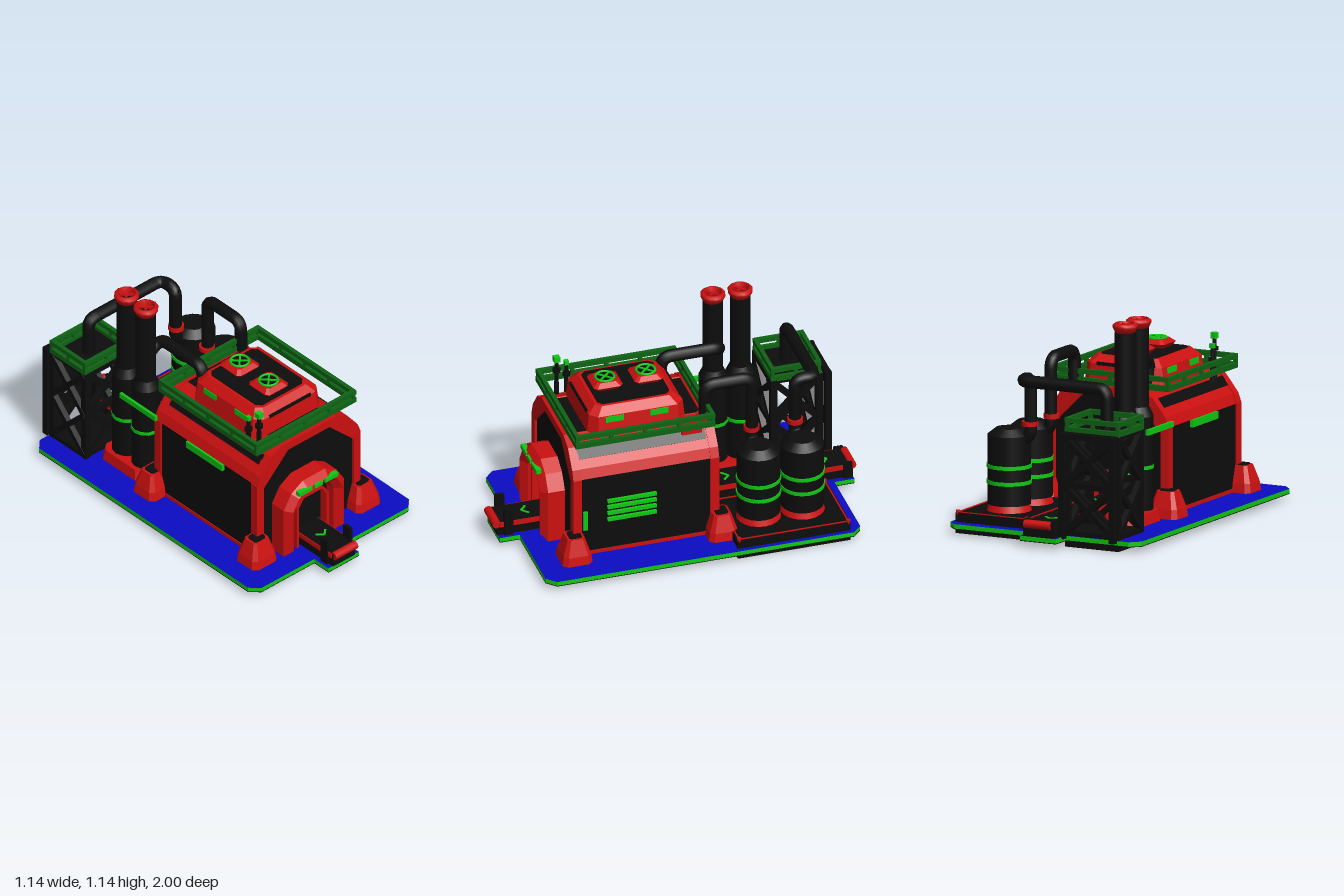
import * as THREE from 'three';
import { ConvexGeometry } from 'three/addons/geometries/ConvexGeometry.js';

export function createModel() {
  const model = new THREE.Group();
  model.name = 'factory';
  const mat = (name, color) => {
    const m = new THREE.MeshStandardMaterial({ color });
    m.name = name;
    return m;
  };
  const red = mat('red', 0xcc1010), black = mat('black', 0x0d0d0d), blue = mat('blue', 0x0c0cc4);
  const green = mat('green', 0x10c814), darkGreen = mat('darkGreen', 0x0f6414);

  // Helpers
  const add = (name, geo, m, x = 0, y = 0, z = 0) => {
    const mesh = new THREE.Mesh(geo, m);
    mesh.name = name;
    mesh.position.set(x, y, z);
    model.add(mesh);
    return mesh;
  };
  // Box given by its limits on each axis
  const box = (name, m, x0, x1, y0, y1, z0, z1) =>
    add(name, new THREE.BoxGeometry(x1 - x0, y1 - y0, z1 - z0), m, (x0 + x1) / 2, (y0 + y1) / 2, (z0 + z1) / 2);
  const cyl = (name, m, r0, r1, y0, y1, x, z, n = 16) =>
    add(name, new THREE.CylinderGeometry(r1, r0, y1 - y0, n), m, x, (y0 + y1) / 2, z);
  // Solid through chamfered rectangles [y, halfWidth, halfDepth, chamfer]
  const hull = (name, m, x, z, rings) => {
    const pts = [];
    for (const [y, w, d, c] of rings)
      for (const sx of [-1, 1]) for (const sz of [-1, 1])
        pts.push(new THREE.Vector3(sx * w, y, sz * (d - c)), new THREE.Vector3(sx * (w - c), y, sz * d));
    return add(name, new ConvexGeometry(pts), m, x, 0, z);
  };
  // Beam between two points
  const beam = (name, m, a, b, t) => {
    const p = new THREE.Vector3(...a), q = new THREE.Vector3(...b);
    const mesh = add(name, new THREE.BoxGeometry(t, t, p.distanceTo(q)), m);
    mesh.position.copy(p).add(q).multiplyScalar(0.5);
    mesh.lookAt(q);
  };
  const shapeOf = pts => new THREE.Shape(pts.map(p => new THREE.Vector2(...p)));
  const mirror = half => [...half, ...half.map(([x, y]) => [-x, y]).reverse()];
  const prism = (name, m, pts, z0, z1, x = 0, bevel = 0) =>
    add(name, new THREE.ExtrudeGeometry(shapeOf(pts), {
      depth: z1 - z0 - bevel, bevelEnabled: bevel > 0, bevelThickness: bevel, bevelSize: bevel, bevelOffset: -bevel, bevelSegments: 1,
    }), m, x, 0, z0);
  // Arch from right-half outlines, open at the bottom
  const arch = (name, m, outer, inner, z0, z1, x, bevel) =>
    prism(name, m, [...mirror(outer), ...mirror(inner).reverse()], z0, z1, x, bevel);
  // Pipe with rounded corners
  const pipe = (name, pts, r = 0.034, bend = 0.06) => {
    const v = pts.map(p => new THREE.Vector3(...p));
    const path = new THREE.CurvePath();
    let last = v[0];
    for (let i = 1; i < v.length - 1; i++) {
      const a = v[i].clone().add(v[i - 1].clone().sub(v[i]).setLength(bend));
      const b = v[i].clone().add(v[i + 1].clone().sub(v[i]).setLength(bend));
      path.add(new THREE.LineCurve3(last, a));
      path.add(new THREE.QuadraticBezierCurve3(a, v[i], b));
      last = b;
    }
    path.add(new THREE.LineCurve3(last, v[v.length - 1]));
    add(name, new THREE.TubeGeometry(path, 64, r, 10), black);
  };
  // Two-bar railing round a rectangle
  const railing = (name, x0, x1, y0, y1, z0, z1, nx, nz) => {
    const t = 0.022, xi = x1 - t, zi = z1 - t;
    for (const [a, b] of [[y0, y0 + 0.03], [y1 - 0.026, y1]]) {
      for (const z of [z0, zi]) box(name + 'Bar', darkGreen, x0, x1, a, b, z, z + t);
      for (const x of [x0, xi]) box(name + 'Bar', darkGreen, x, x + t, a, b, z0 + t, zi);
    }
    for (let i = 0; i <= nx; i++) for (const z of [z0, zi]) {
      const x = x0 + (xi - x0) * i / nx;
      box(name + 'Post', darkGreen, x, x + t * 0.9, y0, y1 - 0.002, z + 0.002, z + t - 0.002);
    }
    for (let i = 1; i < nz; i++) for (const x of [x0, xi]) {
      const z = z0 + (zi - z0) * i / nz;
      box(name + 'Post', darkGreen, x + 0.002, x + t - 0.002, y0, y1 - 0.002, z, z + t * 0.9);
    }
  };

  // Base plate with tongues for the conveyor
  const plate = [[-0.57, 0.81], [-0.52, 0.86], [-0.145, 0.86], [-0.145, 0.97], [0.07, 0.97], [0.07, 0.86], [0.52, 0.86], [0.57, 0.81],
    [0.57, -0.82], [0.52, -0.87], [0.07, -0.87], [0.07, -0.98], [-0.145, -0.98], [-0.145, -0.87], [-0.52, -0.87], [-0.57, -0.82]];
  const slab = (name, m, y, h) => {
    const g = new THREE.ExtrudeGeometry(shapeOf(plate.map(([x, z]) => [x, -z])), { depth: h, bevelEnabled: false });
    add(name, g.rotateX(-Math.PI / 2), m, 0, y, 0);
  };
  slab('basePlate', [blue, green], 0.036, 0.024);
  slab('baseUnderside', black, 0.032, 0.004);

  // Main hall
  const hall = [[0.355, 0.06], [0.355, 0.53], [0.335, 0.58], [0.26, 0.67], [0.18, 0.705]];
  const rib = [[0.366, 0.06], [0.366, 0.53], [0.345, 0.585], [0.27, 0.68], [0.19, 0.715]];
  const ribInner = [[0.318, 0.06], [0.318, 0.5], [0.147, 0.667]];
  prism('hall', black, mirror(hall), -0.125, 0.645);
  for (const z of [-0.144, 0.61]) arch('hallRib', red, rib, ribInner, z, z + 0.048, 0, 0);
  for (const s of [-1, 1]) {
    const skin = [[0.362, 0.53], [0.341, 0.583], [0.266, 0.676], [0.18, 0.711], [0.17, 0.69], [0.25, 0.65], [0.33, 0.56], [0.345, 0.53]];
    prism('roofSlope', red, skin.map(([x, y]) => [s * x, y]), -0.097, 0.611);
    const strip = [[0.312, 0.626], [0.276, 0.673], [0.27, 0.668], [0.306, 0.621]];
    prism('roofStrip', black, strip.map(([x, y]) => [s * x, y]), -0.09, 0.615);
    box('hallSill', red, s * 0.35 - 0.01, s * 0.35 + 0.01, 0.06, 0.08, -0.1, 0.62);
    // Corner buttresses
    for (const [z, e] of [[0.655, 1], [-0.15, -1]]) {
      hull('buttress', red, s * 0.367, z, [[0.06, 0.087, 0.083, 0.025], [0.11, 0.08, 0.075, 0.022], [0.2, 0.052, 0.047, 0.015]]);
      hull('buttressCap', black, s * 0.367, z, [[0.2, 0.038, 0.034, 0.01], [0.206, 0.038, 0.034, 0.01]]);
    }
  }
  // Green side grilles and lamps
  for (const y of [0.26, 0.298, 0.335, 0.372]) box('sideVent', green, 0.35, 0.372, y - 0.009, y + 0.009, 0.2, 0.47);
  box('sideLamp', green, 0.36, 0.374, 0.22, 0.33, 0.58, 0.605);
  box('leftPanel', green, -0.374, -0.355, 0.49, 0.53, 0.11, 0.39);

  // Front and rear portals
  const px = -0.037;
  arch('frontPortal', red, [[0.213, 0.06], [0.213, 0.36], [0.16, 0.445], [0.08, 0.492]],
    [[0.14, 0.06], [0.14, 0.33], [0.11, 0.39], [0.06, 0.415]], 0.645, 0.772, px, 0.035);
  prism('portalBack', black, mirror([[0.16, 0.06], [0.16, 0.34], [0.1, 0.42]]), 0.645, 0.68, px);
  arch('doorFrame', red, [[0.113, 0.06], [0.113, 0.32], [0.07, 0.378]], [[0.098, 0.06], [0.098, 0.315], [0.062, 0.363]], 0.675, 0.73, px);
  for (const [a, b] of [[-0.175, -0.083], [-0.065, -0.01], [0.008, 0.1]]) box('portalLamp', green, a, b, 0.437, 0.461, 0.75, 0.779);
  arch('rearPortal', red, [[0.145, 0.06], [0.145, 0.21], [0.1, 0.27]], [[0.1, 0.06], [0.1, 0.19], [0.07, 0.225]], -0.22, -0.12, px);

  // Conveyor running through the hall
  box('conveyorBelt', black, -0.115, 0.04, 0.06, 0.14, -0.98, 0.975);
  for (const x of [-0.121, 0.04]) {
    box('conveyorSide', red, x, x + 0.006, 0.11, 0.138, -0.97, 0.965);
    for (const z of [0.915, -0.95]) box('conveyorPost', black, x - 0.008, x + 0.014, 0.06, z > 0 ? 0.21 : 0.15, z - 0.025, z + 0.025);
  }
  for (const z of [-0.977, 0.977]) {
    const roller = add('conveyorRoller', new THREE.CylinderGeometry(0.023, 0.023, 0.155, 10), red, px, 0.127, z);
    roller.rotation.z = Math.PI / 2;
  }
  for (const [z, d] of [[0.8, 1], [-0.3, -1], [-0.84, -1]])
    for (const s of [-1, 1])
      beam('beltArrow', green, [px + s * 0.035, 0.139, z - d * 0.012], [px, 0.139, z + d * 0.02], 0.011);

  // Penthouse on the roof with two fans
  const cx = -0.005, cz = 0.257;
  hull('penthouse', red, cx, cz, [[0.69, 0.24, 0.27, 0.05], [0.74, 0.225, 0.26, 0.04], [0.805, 0.222, 0.258, 0.04], [0.845, 0.182, 0.215, 0.03]]);
  hull('penthouseRoof', black, cx, cz, [[0.84, 0.165, 0.198, 0.025], [0.85, 0.165, 0.198, 0.025]]);
  for (const s of [-1, 1]) {
    box('penthouseStrip', black, -0.15, 0.142, 0.795, 0.813, cz + s * 0.256 - 0.004, cz + s * 0.256 + 0.004);
    for (const z of [0.14, 0.385]) box('penthouseWindow', green, cx + s * 0.224 - 0.004, cx + s * 0.224 + 0.004, 0.76, 0.8, z - 0.05, z + 0.05);
  }
  for (const z of [0.14, 0.365]) {
    hull('fanHousing', red, -0.02, z, [[0.84, 0.055, 0.055, 0.012], [0.873, 0.08, 0.08, 0.018], [0.893, 0.055, 0.055, 0.012]]);
    cyl('fanWell', black, 0.05, 0.05, 0.89, 0.896, -0.02, z);
    const ring = add('fanRing', new THREE.TorusGeometry(0.05, 0.007, 6, 20), green, -0.02, 0.897, z);
    ring.rotation.x = Math.PI / 2;
    for (const s of [-1, 1]) beam('fanBlade', green, [-0.055, 0.897, z - s * 0.035], [0.015, 0.897, z + s * 0.035], 0.01);
  }

  // Roof railing and signal masts
  railing('roofRailing', -0.355, 0.352, 0.718, 0.794, -0.127, 0.64, 4, 4);
  for (const [x, z, y, t] of [[-0.26, 0.555, 0.896, 0.016], [-0.28, 0.495, 0.852, 0.012]]) {
    cyl('mast', black, 0.014, 0.01, 0.66, y, x, z, 8);
    cyl('mastCollar', black, 0.022, 0.022, y - 0.08, y - 0.06, x, z, 8);
    box('mastLamp', green, x - t, x + t, y - t, y + t, z - t, z + t);
  }

  // Twin chimneys
  hull('chimneyFoot', red, -0.277, -0.4, [[0.06, 0.11, 0.165, 0.04], [0.12, 0.1, 0.155, 0.04]]);
  for (const z of [-0.31, -0.46]) {
    cyl('chimneyBase', black, 0.078, 0.078, 0.1, 0.62, -0.277, z, 12);
    cyl('chimneyShoulder', black, 0.078, 0.055, 0.62, 0.67, -0.277, z, 12);
    cyl('chimneyStack', black, 0.055, 0.055, 0.66, 1.09, -0.277, z, 12);
    cyl('chimneyBand', green, 0.081, 0.081, 0.34, 0.36, -0.277, z, 12);
    const profile = [[0.04, 1.1], [0.053, 1.09], [0.067, 1.118], [0.067, 1.13], [0.055, 1.14], [0.042, 1.14], [0.04, 1.1]];
    add('chimneyCap', new THREE.LatheGeometry(profile.map(p => new THREE.Vector2(...p)), 12), red, -0.277, 0, z);
    for (const s of [-1, 1]) beam('capSpoke', red, [-0.307, 1.128, z - s * 0.03], [-0.247, 1.128, z + s * 0.03], 0.012);
  }
  box('chimneyBridge', green, -0.383, -0.367, 0.535, 0.565, -0.4, -0.12);

  // Lattice tower with platform, and a ladder frame behind it
  const [tx0, tx1, tz0, tz1] = [-0.445, -0.145, -0.85, -0.6];
  box('towerPad', black, -0.455, -0.135, 0, 0.085, -0.86, -0.588);
  box('towerDeck', black, -0.455, -0.135, 0.595, 0.62, -0.86, -0.588);
  railing('towerRailing', -0.457, -0.133, 0.61, 0.69, -0.863, -0.585, 2, 2);
  for (const x of [tx0, tx1]) for (const z of [tz0, tz1, -0.9]) box('towerLeg', black, x - 0.012, x + 0.02, 0.05, 0.615, z - 0.018, z + 0.018);
  for (const [y0, y1] of [[0.08, 0.34], [0.34, 0.6]]) {
    for (const z of [tz0, tz1, -0.9]) {
      beam('towerBrace', black, [tx0, y0, z], [tx1, y1, z], 0.03);
      beam('towerBrace', black, [tx1, y0, z], [tx0, y1, z], 0.03);
      beam('towerTie', black, [tx0, y1, z], [tx1, y1, z], 0.032);
    }
    for (const x of [tx0, tx1]) {
      beam('towerBrace', black, [x, y0, tz0], [x, y1, tz1], 0.03);
      beam('towerBrace', black, [x, y1, tz0], [x, y0, tz1], 0.03);
    }
  }

  // Tank skid
  box('skid', black, 0.115, 0.545, 0, 0.11, -0.81, -0.19);
  for (const z of [-0.8, -0.2]) box('skidTrim', red, 0.125, 0.535, 0.108, 0.114, z - 0.004, z + 0.004);
  for (const x of [0.125, 0.535]) {
    box('skidTrim', red, x - 0.004, x + 0.004, 0.108, 0.114, -0.8, -0.2);
    for (const z of [-0.8, -0.2]) cyl('skidBolt', red, 0.012, 0.012, 0.1, 0.122, x, z, 8);
  }
  for (const z of [-0.61, -0.37]) {
    cyl('tankFoot', red, 0.12, 0.108, 0.108, 0.145, 0.333, z, 20);
    cyl('tank', black, 0.115, 0.115, 0.145, 0.515, 0.333, z, 20);
    cyl('tankTop', black, 0.115, 0.07, 0.515, 0.55, 0.333, z, 20);
    for (const y of [0.265, 0.35]) cyl('tankBand', green, 0.12, 0.12, y - 0.01, y + 0.01, 0.333, z, 20);
  }

  // Pipework with red collars
  pipe('hallPipe', [[0.215, 0.65, -0.11], [0.215, 0.892, -0.11], [0.215, 0.892, -0.37], [0.215, 0.5, -0.37], [0.3, 0.5, -0.37]]);
  pipe('towerPipe', [[-0.31, 0.6, -0.72], [-0.31, 0.83, -0.72], [0.205, 0.83, -0.72], [0.205, 0.83, -0.61], [0.205, 0.5, -0.61], [0.3, 0.5, -0.61]], 0.034, 0.05);
  pipe('chimneyPipe', [[-0.165, 0.7, 0.01], [-0.165, 0.86, 0.01], [-0.165, 0.86, -0.32], [-0.27, 0.78, -0.32]]);
  for (const z of [-0.37, -0.61]) cyl('pipeCollar', red, 0.043, 0.043, 0.57, 0.595, 0.21, z, 12);
  cyl('pipeCollar', red, 0.045, 0.045, 0.69, 0.72, 0.215, -0.11, 12);
  box('pipeSeat', red, 0.19, 0.3, 0.66, 0.71, -0.07, 0.04);

  return model;
}
